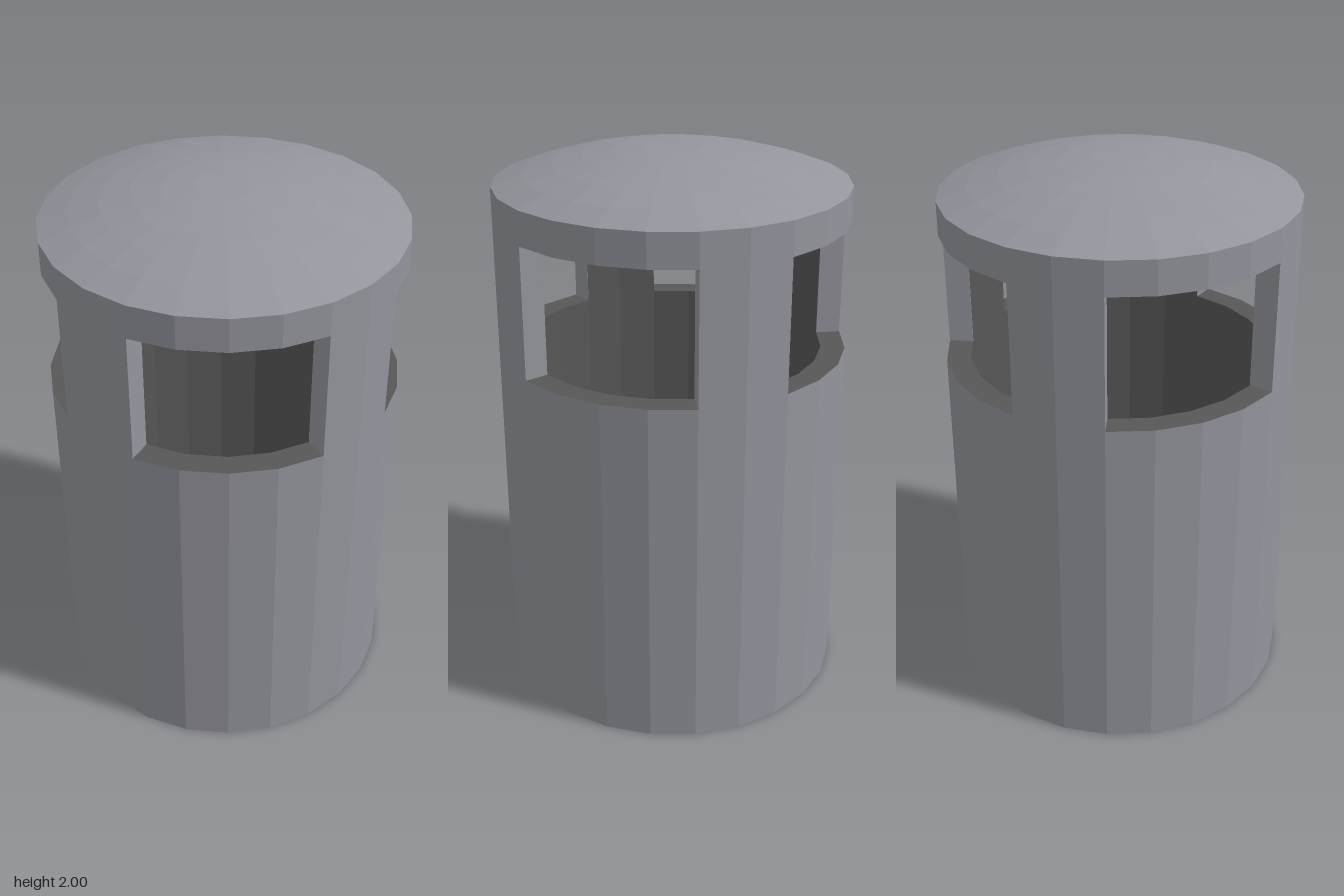
import * as THREE from 'three';

const SIDES = 24;
const STEP = (Math.PI * 2) / SIDES;
const R_OUT = 0.624, R_IN = 0.538;
const FLOOR = 0.08, SILL = 1.29, LINTEL = 1.76, EAVE = 1.88, TOP = 2;

const shell = new THREE.MeshStandardMaterial({ color: 0x94959d, flatShading: true });
const lining = new THREE.MeshStandardMaterial({ color: 0x575757, flatShading: true });

// Profile of [radius, height] pairs turned about the y axis
function turned(name, material, profile, segments = SIDES, start = 0) {
  const points = profile.map(([r, y]) => new THREE.Vector2(r, y));
  const geometry = new THREE.LatheGeometry(points, segments, start, segments * STEP);
  const mesh = new THREE.Mesh(geometry, material);
  mesh.name = name;
  return mesh;
}

// Wall segment spanning two facets, with radial sides, centred on +z
function pillarGeometry() {
  const at = (r, i) => new THREE.Vector2(r * Math.sin(i * STEP), -r * Math.cos(i * STEP));
  const section = new THREE.Shape([
    at(R_OUT, -1), at(R_OUT, 0), at(R_OUT, 1),
    at(R_IN, 1), at(R_IN, 0), at(R_IN, -1),
  ]);
  const geometry = new THREE.ExtrudeGeometry(section, { depth: LINTEL - SILL, bevelEnabled: false });
  return geometry.rotateX(-Math.PI / 2).translate(0, SILL, 0);
}

export function createModel() {
  const model = new THREE.Group();
  model.name = 'litterBin';

  // Outer body and its dark lining, which wraps over the sill
  model.add(turned('body', shell, [[0, 0], [R_OUT, 0], [R_OUT, SILL]]));
  model.add(turned('bodyLining', lining, [[R_OUT, SILL], [R_IN, SILL], [R_IN, FLOOR], [0, FLOOR]]));

  // Four pillars, dark on the inside, leaving four openings on the diagonals
  const geometry = pillarGeometry();
  const rLining = R_IN - 0.001;
  for (let i = 0; i < 4; i++) {
    const pillar = new THREE.Group();
    pillar.name = 'pillar' + (i + 1);
    const post = new THREE.Mesh(geometry, shell);
    post.name = 'post';
    pillar.add(post, turned('postLining', lining, [[rLining, LINTEL], [rLining, SILL]], 2, -STEP));
    pillar.rotation.y = (i * Math.PI) / 2;
    model.add(pillar);
  }

  // Dark flat ceiling under the lid
  model.add(turned('ceiling', lining, [[0, LINTEL], [R_OUT, LINTEL]]));

  // Lid: upright rim and shallow spherical dome
  const lid = [[R_OUT, LINTEL]];
  const rise = TOP - EAVE;
  const sphere = (R_OUT ** 2 + rise ** 2) / (2 * rise);
  const rings = 6;
  for (let i = rings; i >= 0; i--) {
    const r = (R_OUT * i) / rings;
    lid.push([r, TOP - sphere + Math.sqrt(sphere ** 2 - r ** 2)]);
  }
  model.add(turned('domedLid', shell, lid));

  return model;
}
